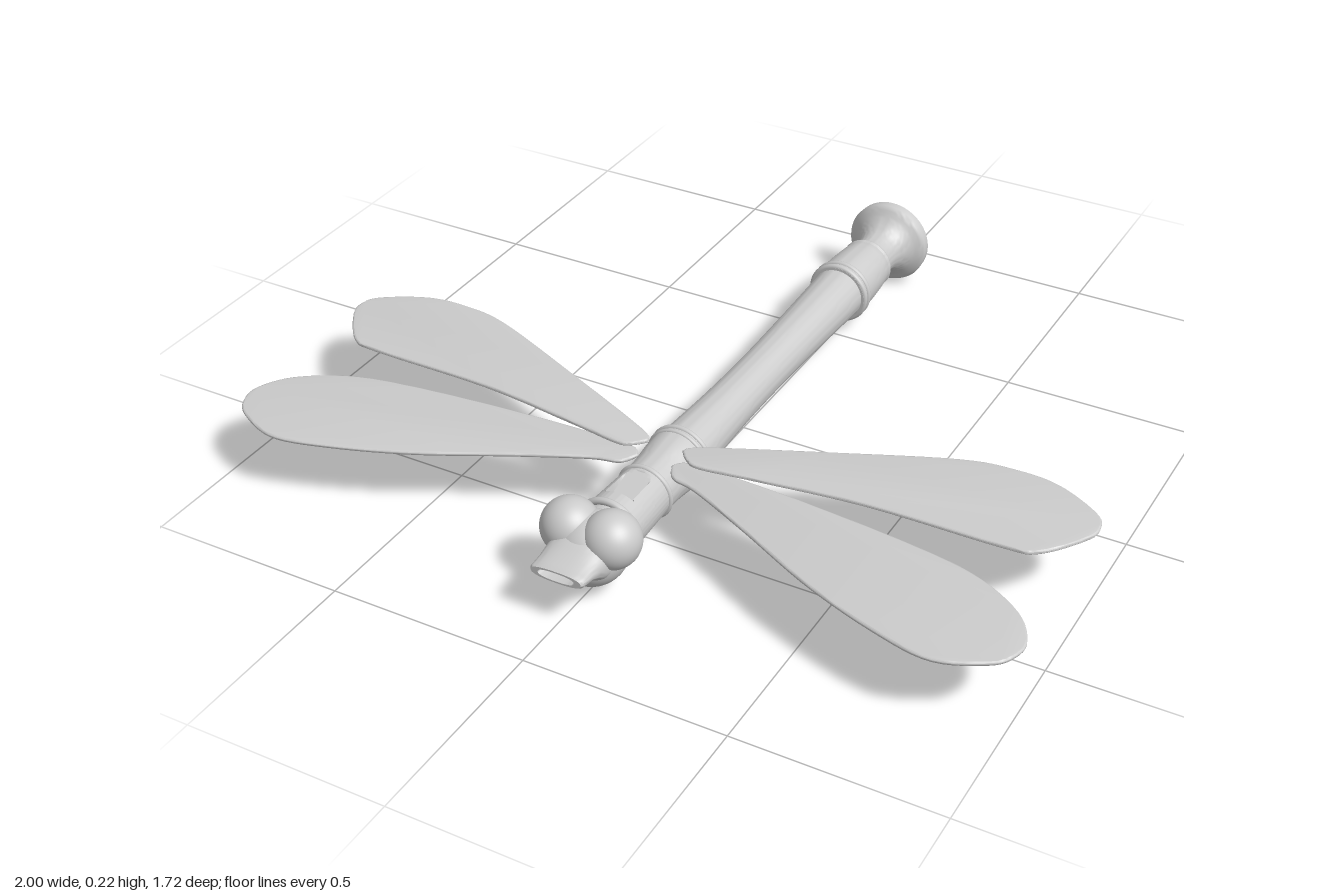
import * as THREE from 'three';
import { toCreasedNormals } from 'three/addons/utils/BufferGeometryUtils.js';

const AXIS_Y = 0.115;
const grey = new THREE.MeshStandardMaterial({ color: 0xcccccc, side: THREE.DoubleSide });

function part(name, geometry) {
  const mesh = new THREE.Mesh(geometry, grey);
  mesh.name = name;
  return mesh;
}

// Turned part along z, from [z, radius] pairs in rising z
function turned(name, pairs, segments = 56) {
  const geo = new THREE.LatheGeometry(pairs.map(([z, r]) => new THREE.Vector2(r, z)), segments);
  geo.rotateX(Math.PI / 2);
  geo.translate(0, AXIS_Y, 0);
  return part(name, toCreasedNormals(geo, 0.6));
}

// Smooth run of [z, radius] pairs through a few control points
function smooth(pairs, n = 20) {
  const curve = new THREE.CatmullRomCurve3(pairs.map(([z, r]) => new THREE.Vector3(z, r, 0)));
  return curve.getPoints(n).map((p) => [p.x, Math.max(p.y, 0)]);
}

// Rounded bead around the body
function bead(name, z, radius, thickness) {
  const geo = new THREE.TorusGeometry(radius - thickness, thickness, 10, 56);
  geo.translate(0, AXIS_Y, z);
  return part(name, geo);
}

// Loft of superellipse sections [z, halfWidth, halfHeight, centreY]
function loft(name, sections, n = 40) {
  const pos = [], idx = [];
  sections.forEach(([z, w, h, cy], s) => {
    for (let i = 0; i < n; i++) {
      const a = (i / n) * Math.PI * 2, c = Math.cos(a), d = Math.sin(a);
      pos.push(w * Math.sign(c) * Math.abs(c) ** 0.8, cy + h * Math.sign(d) * Math.abs(d) ** 0.8, z);
      if (s === 0) continue;
      const j = (i + 1) % n, p = (s - 1) * n, q = s * n;
      idx.push(p + i, p + j, q + j, p + i, q + j, q + i);
    }
  });
  const geo = new THREE.BufferGeometry();
  geo.setAttribute('position', new THREE.Float32BufferAttribute(pos, 3));
  geo.setIndex(idx);
  return part(name, toCreasedNormals(geo, 0.7));
}

// Thin wing plate from an [x, z] outline, with side = 1 (left) or -1 (right)
function wing(name, outline, y, side) {
  const pts = outline.map(([x, z]) => new THREE.Vector2(side * x, -z));
  const shape = new THREE.Shape(new THREE.SplineCurve([...pts, pts[0]]).getPoints(90).slice(0, -1));
  const geo = new THREE.ExtrudeGeometry(shape, {
    depth: 0.004, bevelEnabled: true, bevelThickness: 0.003, bevelSize: 0.004, bevelOffset: -0.004, bevelSegments: 2,
  });
  geo.rotateX(-Math.PI / 2);
  geo.translate(0, y - 0.002, 0);
  return part(name, toCreasedNormals(geo, 0.8));
}

// Neck section with a sloped window pressed into its top
function windowSection() {
  const rows = [];
  for (let i = 0; i <= 60; i++) {
    const t = i / 60;
    rows.push([0.48 + 0.16 * t, 0.067 + 0.007 * t]);
  }
  const geo = new THREE.LatheGeometry(rows.map(([z, r]) => new THREE.Vector2(r, z)), 120);
  geo.rotateX(Math.PI / 2);
  const p = geo.attributes.position;
  for (let i = 0; i < p.count; i++) {
    const z = p.getZ(i), t = (z - 0.49) / 0.1;
    if (t < 0 || t > 1 || p.getY(i) < 0 || Math.abs(p.getX(i)) > 0.036 - 0.005 * (1 - t)) continue;
    p.setY(i, Math.min(p.getY(i), 0.064 - 0.03 * t));
  }
  geo.translate(0, AXIS_Y, 0);
  return part('neckWithWindow', toCreasedNormals(geo, 0.5));
}

export function createModel() {
  const model = new THREE.Group();
  model.name = 'dragonflyFlute';

  // Flared foot with a dished end
  model.add(turned('flaredFoot', [
    ...smooth([[-0.81, 0], [-0.815, 0.03], [-0.83, 0.065], [-0.855, 0.098]], 12),
    [-0.858, 0.104], [-0.855, 0.109], [-0.832, 0.111],
    ...smooth([[-0.825, 0.108], [-0.805, 0.083], [-0.775, 0.062], [-0.74, 0.056], [-0.70, 0.06]], 18),
  ]));

  // Foot joint
  model.add(turned('footJoint', [
    [-0.71, 0.05], [-0.708, 0.066], [-0.70, 0.07], [-0.692, 0.068],
    ...smooth([[-0.69, 0.069], [-0.62, 0.075], [-0.54, 0.078]], 8), [-0.52, 0.076], [-0.519, 0.06],
  ]));
  model.add(bead('footBeadRear', -0.547, 0.083, 0.008));
  model.add(bead('footBeadFront', -0.528, 0.083, 0.008));

  // Long waisted tail tube
  model.add(turned('tailTube', smooth([[-0.53, 0.07], [-0.3, 0.063], [-0.08, 0.059], [0.1, 0.061], [0.32, 0.07]], 32)));

  // Middle joint between the wings
  model.add(turned('wingJoint', smooth([[0.3, 0.076], [0.36, 0.074], [0.42, 0.068], [0.49, 0.067]], 14)));
  model.add(bead('wingJointBeadRear', 0.31, 0.081, 0.007));
  model.add(bead('wingJointBeadFront', 0.327, 0.08, 0.006));
  model.add(bead('neckBeadRear', 0.476, 0.073, 0.007));
  model.add(windowSection());
  model.add(bead('neckBeadFront', 0.635, 0.082, 0.009));

  // Head and eyes
  const head = new THREE.SphereGeometry(0.088, 40, 28);
  head.translate(0, 0.113, 0.71);
  model.add(part('head', head));
  for (const side of [1, -1]) {
    const eye = new THREE.SphereGeometry(0.069, 40, 28);
    eye.translate(side * 0.054, 0.155, 0.71);
    model.add(part(side > 0 ? 'leftEye' : 'rightEye', eye));
  }

  // Beak mouthpiece with an open slot
  model.add(loft('mouthpiece', [
    [0.74, 0.078, 0.062, 0.118], [0.77, 0.076, 0.05, 0.122], [0.79, 0.073, 0.038, 0.126],
    [0.815, 0.07, 0.026, 0.129], [0.84, 0.069, 0.02, 0.13], [0.853, 0.068, 0.018, 0.131],
    [0.858, 0.064, 0.015, 0.131], [0.858, 0.046, 0.011, 0.131], [0.8, 0.044, 0.01, 0.131], [0.8, 0.001, 0.001, 0.131],
  ]));

  // Two pairs of wings
  const frontOutline = [
    [0.045, 0.43], [0.07, 0.405], [0.16, 0.402], [0.35, 0.41], [0.62, 0.435], [0.81, 0.47], [0.94, 0.54], [0.995, 0.62],
    [0.99, 0.68], [0.95, 0.725], [0.84, 0.768], [0.7, 0.74], [0.51, 0.67], [0.3, 0.565], [0.14, 0.49], [0.07, 0.47],
  ];
  const rearOutline = [
    [0.045, 0.38], [0.085, 0.345], [0.35, 0.225], [0.62, 0.11], [0.75, 0.087], [0.86, 0.097], [0.97, 0.155], [0.996, 0.2],
    [0.985, 0.25], [0.91, 0.345], [0.83, 0.363], [0.51, 0.368], [0.25, 0.4], [0.11, 0.42], [0.07, 0.407],
  ];
  for (const side of [1, -1]) {
    const label = side > 0 ? 'left' : 'right';
    model.add(wing(label + 'FrontWing', frontOutline, 0.171, side));
    model.add(wing(label + 'RearWing', rearOutline, 0.182, side));
  }
  return model;
}
